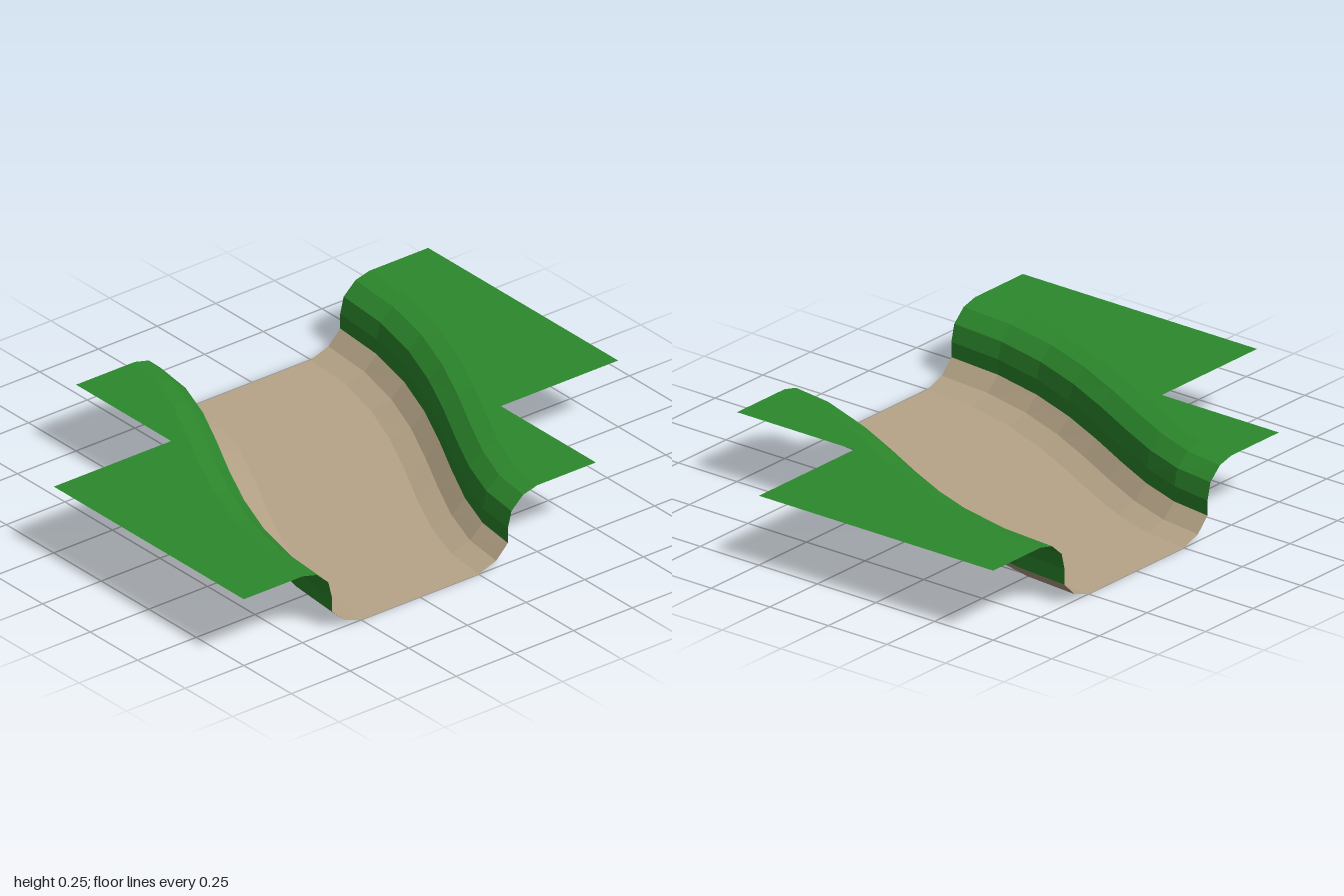
import * as THREE from 'three';

const HALF = 0.75, STEPS = 8, TOP = 0.25;

// z of the line running parallel to the winding centreline at distance d
function lineZ(x, d) {
  const k = Math.PI / (2 * HALF);
  const angle = (c) => Math.atan(0.25 * k * Math.cos(k * c));
  let c = x;
  for (let i = 0; i < 30; i++) c = Math.max(-HALF, Math.min(HALF, x + d * Math.sin(angle(c))));
  return 0.25 * Math.sin(k * c) + d * Math.cos(angle(c));
}

// Point at station i on the parallel line d
function station(i, d) {
  const u = -HALF + (2 * HALF * i) / STEPS;
  const x = u - 0.16 * d * (1 - (u / HALF) ** 2);
  return [x, lineZ(x, d)];
}

// Sweep a profile of [distance, height] pairs along the river
function sweep(profile) {
  const pos = [], idx = [], n = profile.length;
  for (let i = 0; i <= STEPS; i++) {
    profile.forEach(([d, y], j) => {
      const [x, z] = station(i, d);
      pos.push(x, y, z);
      if (i < STEPS && j < n - 1) {
        const a = i * n + j;
        idx.push(a, a + 1, a + n, a + 1, a + n + 1, a + n);
      }
    });
  }
  const g = new THREE.BufferGeometry();
  g.setAttribute('position', new THREE.Float32BufferAttribute(pos, 3));
  g.setIndex(idx);
  g.computeVertexNormals();
  return g;
}

export function createModel() {
  const model = new THREE.Group();
  model.name = 'riverBendTile';
  const paint = (color) =>
    new THREE.MeshStandardMaterial({ color, flatShading: true, side: THREE.DoubleSide });
  const grass = paint(0x2d8a2d), dirt = paint(0xb7a588);
  const add = (parent, name, geometry, material) => {
    const mesh = new THREE.Mesh(geometry, material);
    mesh.name = name;
    parent.add(mesh);
  };

  // Riverbed with rounded edges
  const half = [[0.25, 0], [0.325, 0.025], [0.375, 0.075]];
  const mirrored = half.map(([d, y]) => [-d, y]).reverse();
  add(model, 'riverbed', sweep([...mirrored, ...half]), dirt);

  // Grass bank: rounded slope and stepped flat top, the second turned half round
  const slope = sweep([[0.375, 0.075], [0.375, 0.13], [0.39, 0.19], [0.44, 0.235], [0.5, TOP]]);
  const outline = [];
  for (let i = 0; i <= STEPS; i++) outline.push(station(i, 0.5));
  outline.push([HALF, 1], [-0.25, 1], [-0.25, 0.5], [-HALF, 0.5]);
  const flat = new THREE.ShapeGeometry(
    new THREE.Shape(outline.map(([x, z]) => new THREE.Vector2(x, -z))));
  flat.rotateX(-Math.PI / 2).translate(0, TOP, 0);

  ['frontBank', 'backBank'].forEach((name, i) => {
    const bank = new THREE.Group();
    bank.name = name;
    add(bank, 'bankSlope', slope, grass);
    add(bank, 'bankTop', flat, grass);
    bank.rotation.y = i * Math.PI;
    model.add(bank);
  });
  return model;
}
